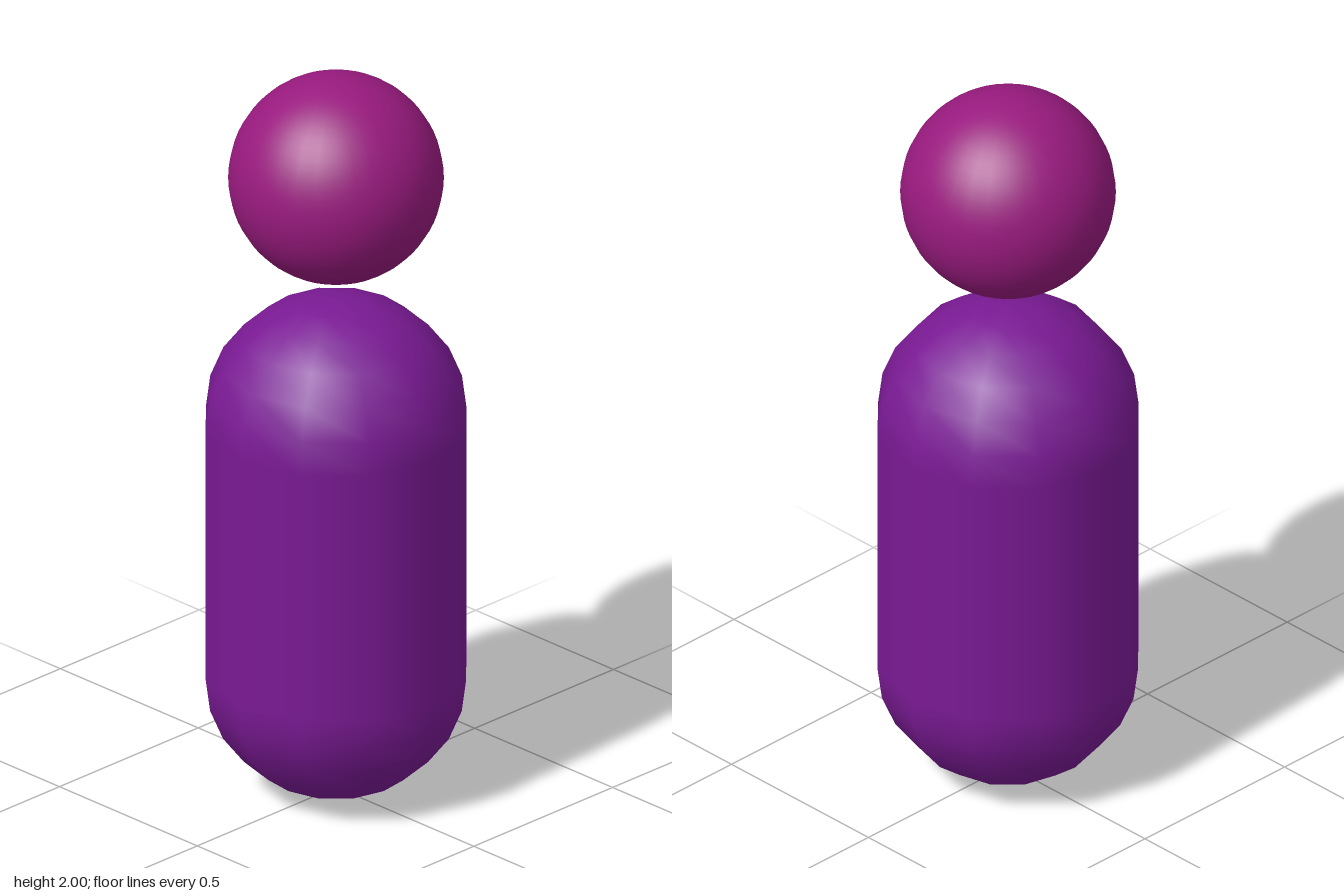
import * as THREE from 'three';

const R = 0.3448; // body radius; all other sizes are proportional to it

export function createModel() {
  const group = new THREE.Group();

  const addPart = (name, geometry, color, y) => {
    const mesh = new THREE.Mesh(geometry, new THREE.MeshStandardMaterial({ color }));
    mesh.name = name;
    mesh.position.y = y;
    group.add(mesh);
  };

  // twelve-sided capsule body standing on the ground
  addPart('body', new THREE.CapsuleGeometry(R, 2 * R, 6, 12), 0x7a1a94, 2 * R);

  // smooth head floating just above the body
  const headRadius = 0.8 * R;
  addPart('head', new THREE.SphereGeometry(headRadius, 32, 32), 0x981a7e, 2 - headRadius);

  return group;
}
